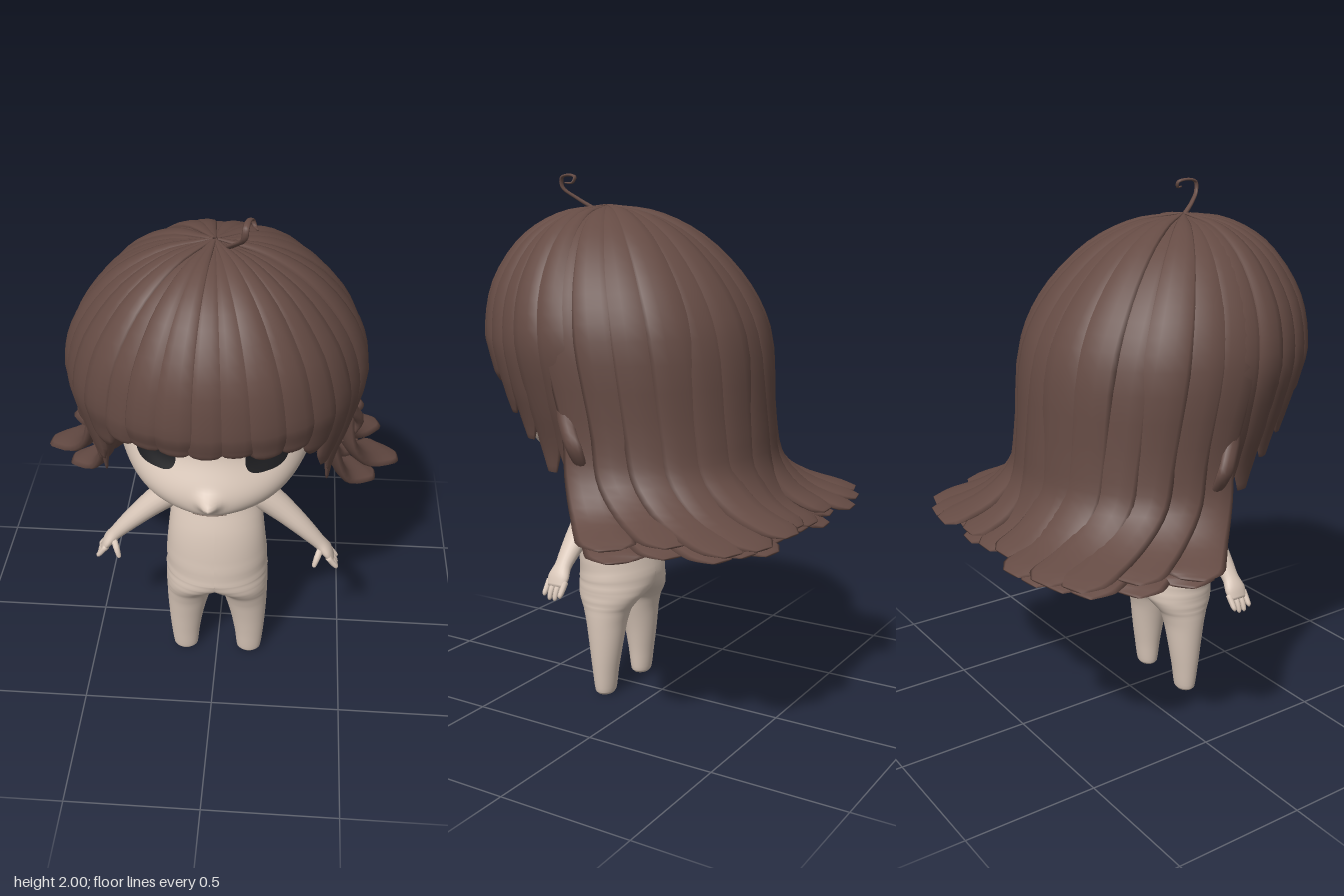
import * as THREE from 'three';

const material = (name, color, side = THREE.FrontSide) =>
  Object.assign(new THREE.MeshStandardMaterial({ color, side }), { name });

// Elliptical sweep through stations [x, y, z, halfWidth, halfThickness].
// Width runs along side, which may turn towards endSide.
function sweep(stations, side, rings = 20, sides = 10, endSide = side) {
  const path = new THREE.CatmullRomCurve3(stations.map(s => new THREE.Vector3(s[0], s[1], s[2])), false, 'centripetal');
  const size = (i, u) => {
    const f = u * (stations.length - 1), k = Math.min(Math.floor(f), stations.length - 2);
    return THREE.MathUtils.lerp(stations[k][i], stations[k + 1][i], f - k);
  };
  const S0 = new THREE.Vector3(...side).normalize(), S1 = new THREE.Vector3(...endSide).normalize();
  const pos = [], index = [];
  for (let i = 0; i <= rings; i++) {
    const u = i / rings, p = path.getPoint(u);
    const S = S0.clone().lerp(S1, u ** 3).normalize();
    const n = path.getTangent(u).cross(S).normalize();
    for (let j = 0; j < sides; j++) {
      const a = j / sides * Math.PI * 2;
      const q = p.clone().addScaledVector(S, size(3, u) * Math.cos(a)).addScaledVector(n, size(4, u) * Math.sin(a));
      pos.push(q.x, q.y, q.z);
      if (i < rings) {
        const a0 = i * sides + j, b0 = i * sides + (j + 1) % sides;
        index.push(a0, b0, a0 + sides, b0, b0 + sides, a0 + sides);
      }
    }
  }
  // end caps
  const c = pos.length / 3, last = rings * sides;
  pos.push(...path.getPoint(0).toArray(), ...path.getPoint(1).toArray());
  for (let j = 0; j < sides; j++) {
    const k = (j + 1) % sides;
    index.push(c, k, j, c + 1, last + j, last + k);
  }
  const g = new THREE.BufferGeometry();
  g.setAttribute('position', new THREE.Float32BufferAttribute(pos, 3));
  g.setIndex(index);
  g.computeVertexNormals();
  return g;
}

// Half of the body, cut flat at x = 0 with normals that meet the other half smoothly.
function bodyHalf(s, stations) {
  const g = sweep(stations.map(p => [p[0] * s, ...p.slice(1)]), [1, 0, 0], 64, 64);
  const p = g.attributes.position, n = g.attributes.normal;
  for (let i = 0; i < p.count; i++) if (p.getX(i) * s < 1e-4) p.setX(i, 0);
  g.computeVertexNormals();
  for (let i = 0; i < p.count; i++) {
    const l = Math.hypot(n.getY(i), n.getZ(i));
    if (p.getX(i) === 0 && l > 0.01) n.setXYZ(i, 0, n.getY(i) / l, n.getZ(i) / l);
  }
  return g;
}

// Face relief: forward jaw, nose, eye sockets, lips.
const bump = (x, y, cx, cy, sx, sy) => Math.exp(-(((x - cx) / sx) ** 2) - ((y - cy) / sy) ** 2);
const jaw = y => 0.17 * THREE.MathUtils.smoothstep(1.22 - y, 0, 0.27);
const relief = (x, y) => 0.05 * bump(x, y, 0, 1.045, 0.032, 0.026)
  + 0.012 * bump(x, y, 0, 0.985, 0.09, 0.035)
  - 0.02 * bump(Math.abs(x), y, 0.19, 1.19, 0.09, 0.075);
const faceZ = (x, y) => 0.125 + jaw(y) + relief(x, y)
  + 0.36 * Math.sqrt(Math.max(0, 1 - (x / 0.37) ** 2 - ((y - 1.22) / 0.31) ** 2));

// Thin rounded plate lying on the face.
function facePlate(cx, cy, rx, ry) {
  const g = new THREE.RingGeometry(0.001, 1, 48, 8), p = g.attributes.position;
  for (let i = 0; i < p.count; i++) {
    const u = p.getX(i), v = p.getY(i);
    const k = Math.hypot(u, v) / Math.cbrt(Math.abs(u) ** 3 + Math.abs(v) ** 3);
    const x = cx + u * k * rx, y = cy + v * k * ry;
    p.setXYZ(i, x, y, faceZ(x, y) + 0.006);
  }
  g.computeVertexNormals();
  return g;
}

// Point on the hair dome: azimuth phi from the front, a down from the crown.
const RX = 0.5, RZ = 0.52;
const dome = (phi, a, r = 1) => [
  Math.sin(phi) * RX * Math.sin(a) * r,
  1.35 + 0.53 * Math.cos(a) * r,
  0.14 + Math.cos(phi) * RZ * Math.sin(a) * r + 0.1 * Math.cos(a)];

const jitter = i => { const v = Math.sin(i * 12.9898 + 4.1) * 43758.5453; return (v - Math.floor(v)) * 2 - 1; };

export function createModel() {
  const model = new THREE.Group();
  const skin = material('skin', 0xd9c7b9);
  const hair = material('hair', 0x654b44, THREE.DoubleSide);
  const black = material('eye black', 0x1c1c1f, THREE.DoubleSide);
  const lip = material('lip line', 0x8f7a6e);
  const add = (name, geometry, mat, parent = model) => {
    const m = new THREE.Mesh(geometry, mat);
    m.name = name;
    parent.add(m);
    return m;
  };
  const Z = [0, 0, 1];

  // body, arms and hands
  for (const s of [1, -1]) {
    const side = s > 0 ? 'left' : 'right';
    add(side + 'LegAndTorso', bodyHalf(s, [
      [0.13, 0, 0.18, 0.036, 0.03], [0.13, 0.012, 0.18, 0.048, 0.038], [0.13, 0.1, 0.18, 0.058, 0.05],
      [0.125, 0.2, 0.18, 0.07, 0.065], [0.116, 0.29, 0.182, 0.083, 0.08], [0.108, 0.345, 0.183, 0.091, 0.097],
      [0.098, 0.372, 0.183, 0.101, 0.114], [0.068, 0.405, 0.183, 0.131, 0.136], [0.03, 0.435, 0.183, 0.17, 0.149],
      [0, 0.475, 0.184, 0.2, 0.155], [0, 0.55, 0.192, 0.196, 0.145], [0, 0.65, 0.2, 0.186, 0.125],
      [0, 0.75, 0.185, 0.175, 0.115], [0, 0.83, 0.18, 0.157, 0.1], [0, 0.89, 0.175, 0.125, 0.08],
      [0, 0.92, 0.172, 0.08, 0.06], [0, 0.93, 0.17, 0.03, 0.03]]), skin);
    const arm = new THREE.Group();
    arm.name = side + 'Arm';
    model.add(arm);
    const limb = (name, pts, rings, sides) =>
      add(name, sweep(pts.map(p => [p[0] * s, ...p.slice(1)]), Z, rings, sides), skin, arm);
    limb('arm', [[0.03, 0.87, 0.172, 0.03, 0.02], [0.09, 0.855, 0.172, 0.062, 0.045], [0.15, 0.82, 0.172, 0.068, 0.056],
      [0.23, 0.755, 0.172, 0.057, 0.05],
      [0.32, 0.67, 0.178, 0.045, 0.038], [0.395, 0.59, 0.182, 0.032, 0.026], [0.425, 0.555, 0.182, 0.044, 0.022],
      [0.445, 0.52, 0.182, 0.04, 0.014]], 30, 20);
    for (let f = 0; f < 4; f++) {
      const z = 0.148 + f * 0.023, tip = f % 3 ? 0.475 : 0.488;
      limb('finger', [[0.432, 0.54, z, 0.012, 0.012], [0.455, 0.51, z, 0.011, 0.011],
        [0.466, tip + 0.008, z, 0.009, 0.009], [0.468, tip, z, 0.003, 0.003]], 8, 8);
    }
    limb('thumb', [[0.405, 0.575, 0.2, 0.014, 0.014], [0.39, 0.545, 0.228, 0.014, 0.013],
      [0.38, 0.515, 0.24, 0.01, 0.009], [0.379, 0.508, 0.241, 0.003, 0.003]], 8, 8);
  }
  add('neck', new THREE.CylinderGeometry(0.045, 0.055, 0.14, 20).translate(0, 0.95, 0.17), skin);

  // head, shallow at the back
  const head = new THREE.SphereGeometry(1, 128, 96);
  const hp = head.attributes.position;
  for (let i = 0; i < hp.count; i++) {
    const x = hp.getX(i) * 0.37, y = 1.22 + hp.getY(i) * 0.31, z = hp.getZ(i);
    hp.setXYZ(i, x, y, 0.125 + (z > 0 ? 0.36 : 0.24) * z + jaw(y) + (z > 0 ? relief(x, y) * Math.min(1, z * 3) : 0));
  }
  head.computeVertexNormals();
  add('head', head, skin);
  add('mouth', new THREE.TubeGeometry(new THREE.CatmullRomCurve3([-2, -1, 0, 1, 2].map(k => {
    const x = k * 0.029, y = 0.983 - 0.001 * k * k;
    return new THREE.Vector3(x, y, faceZ(x, y));
  })), 16, 0.003, 6), lip);

  // eyes, brows, lashes and ears
  for (const s of [1, -1]) {
    add('eye', facePlate(s * 0.192, 1.19, 0.074, 0.061), black);
    add('brow', facePlate(s * 0.17, 1.333, 0.085, 0.024), black);
    add('lash', sweep([[s * 0.3, 1.228, faceZ(0.3, 1.228), 0.003, 0.003],
      [s * 0.34, 1.222, 0.34, 0.004, 0.003], [s * 0.41, 1.226, 0.33, 0.001, 0.001]], Z, 6, 6), black);
    const ear = add('ear', new THREE.SphereGeometry(1, 20, 14), skin);
    ear.scale.set(0.025, 0.045, 0.04);
    ear.position.set(s * 0.315, 1.08, 0.1);
  }

  // under-cap of the hair
  const cap = new THREE.SphereGeometry(1, 40, 16, 0, Math.PI * 2, 0, Math.PI / 2);
  const cp = cap.attributes.position;
  for (let i = 0; i < cp.count; i++) {
    const y = cp.getY(i);
    cp.setXYZ(i, cp.getX(i) * 0.485, 1.35 + y * 0.53, 0.14 + cp.getZ(i) * 0.51 + 0.1 * y);
  }
  cap.computeVertexNormals();
  add('hairCap', cap, hair);

  const along = phi => [Math.cos(phi), 0, -Math.sin(phi)];
  const crownStations = (phi, w, r, from = 0) => [0.02, 0.35, 0.7, 1.1, 1.45].slice(from)
    .map(a => [...dome(phi, a, r), w * Math.sin(a) + 0.004, 0.003 + 0.025 * Math.sin(a)]);

  // fringe and side locks
  for (let i = -8; i <= 8; i++) {
    const phi = i * 0.2, f = Math.abs(phi), r = 1 + 0.012 * jitter(i);
    const end = (f < 0.75 ? 1.31 : f < 0.9 ? 1.25 : f < 1.1 ? 1.13 : f < 1.3 ? 1.04 : 0.95) + 0.015 * jitter(i + 40);
    const k = 1 - 0.45 * (1.3 - Math.min(end, 1.3)), x = Math.sin(phi) * RX, z = Math.cos(phi) * RZ;
    const at = (t, q, w, h) => [x * q, 1.4 + (end - 1.4) * t, 0.14 + z * q, w, h];
    add(f < 0.9 ? 'fringeLock' : 'sideLock', sweep([...crownStations(phi, 0.07, r),
      at(0.45, (1 + k) / 2, 0.068, 0.026), at(0.8, k, 0.054, 0.018), at(1, k - 0.01, 0.024, 0.006)],
      along(phi), 26), hair);
  }

  // long back locks in two layers: they hang straight, then flare into broad flat ends
  const ends = [[0, -0.63], [0.13, -0.63], [0.265, -0.67], [0.4, -0.635], [0.51, -0.58], [0.575, -0.4], [0.66, -0.205]];
  for (const inner of [false, true]) {
    for (let i = -6; i <= 6; i++) {
      const phi = Math.PI - i * 0.24, seed = i + (inner ? 90 : 70), u = Math.abs(i) / 6;
      const [ex, ez] = ends[Math.abs(i)], q = inner ? 0.87 : 1;
      const tip = [Math.sign(i) * ex * q, (inner ? 0.715 : 0.785) + 0.015 * jitter(seed), ez * q];
      const mid = [Math.sin(phi) * (0.49 - 0.02 * u) * q, 1.1, 0.14 + Math.cos(phi) * 0.535 * q - 0.05 * u * u];
      const at = (t, y, w, h) => [mid[0] + (tip[0] - mid[0]) * t, y, mid[2] + (tip[2] - mid[2]) * t, w, h];
      const wide = 0.082 + 0.022 * u;
      add(inner ? 'innerBackLock' : 'backLock', sweep([
        ...crownStations(phi, 0.09, q + 0.012 * jitter(seed + 9), inner ? 3 : 0),
        at(0, 1.1, 0.092, 0.028), at(0.1, 0.95, 0.09, 0.026), at(0.42, tip[1] + 0.06, 0.09, 0.022),
        at(0.86, tip[1] + 0.01, wide, 0.014), at(1, tip[1], 0.045, 0.004)],
        along(phi), 32, 10, [tip[2] - mid[2], 0, mid[0] - tip[0]]), hair);
    }
  }

  // short locks curling in at the nape
  for (let i = -4; i <= 4; i++) {
    const phi = Math.PI - i * 0.28;
    const at = (r, y, w, h) => [Math.sin(phi) * RX * r, y, 0.14 + Math.cos(phi) * RZ * r, w, h];
    add('napeLock', sweep([at(0.85, 1.4, 0.09, 0.02), at(0.82, 1.2, 0.09, 0.02), at(0.74, 1.06, 0.08, 0.02),
      at(0.6, 0.98, 0.06, 0.014), at(0.5, 0.97 + 0.015 * jitter(i), 0.02, 0.004)], along(phi), 16), hair);
  }

  // small curls beside the cheeks
  for (const s of [1, -1]) {
    add('cheekCurl', sweep([[s * 0.46, 1.25, 0.12, 0.03, 0.02], [s * 0.49, 1.15, 0.09, 0.035, 0.02],
      [s * 0.52, 1.07, 0.04, 0.035, 0.018], [s * 0.49, 1.0, 0.03, 0.025, 0.014],
      [s * 0.46, 0.97, 0.04, 0.005, 0.004]], Z, 16), hair);
  }

  // curled strand on the crown
  add('crownCurl', sweep([[0.04, 1.87, 0.27, 0.012, 0.008], [0.07, 1.91, 0.33, 0.011, 0.006],
    [0.1, 1.95, 0.375, 0.011, 0.005], [0.105, 1.985, 0.375, 0.011, 0.005], [0.11, 1.994, 0.34, 0.011, 0.005],
    [0.12, 1.985, 0.305, 0.01, 0.005], [0.13, 1.965, 0.31, 0.008, 0.004], [0.14, 1.965, 0.335, 0.004, 0.003]],
    [1, 0, 0], 30, 8), hair);

  return model;
}
